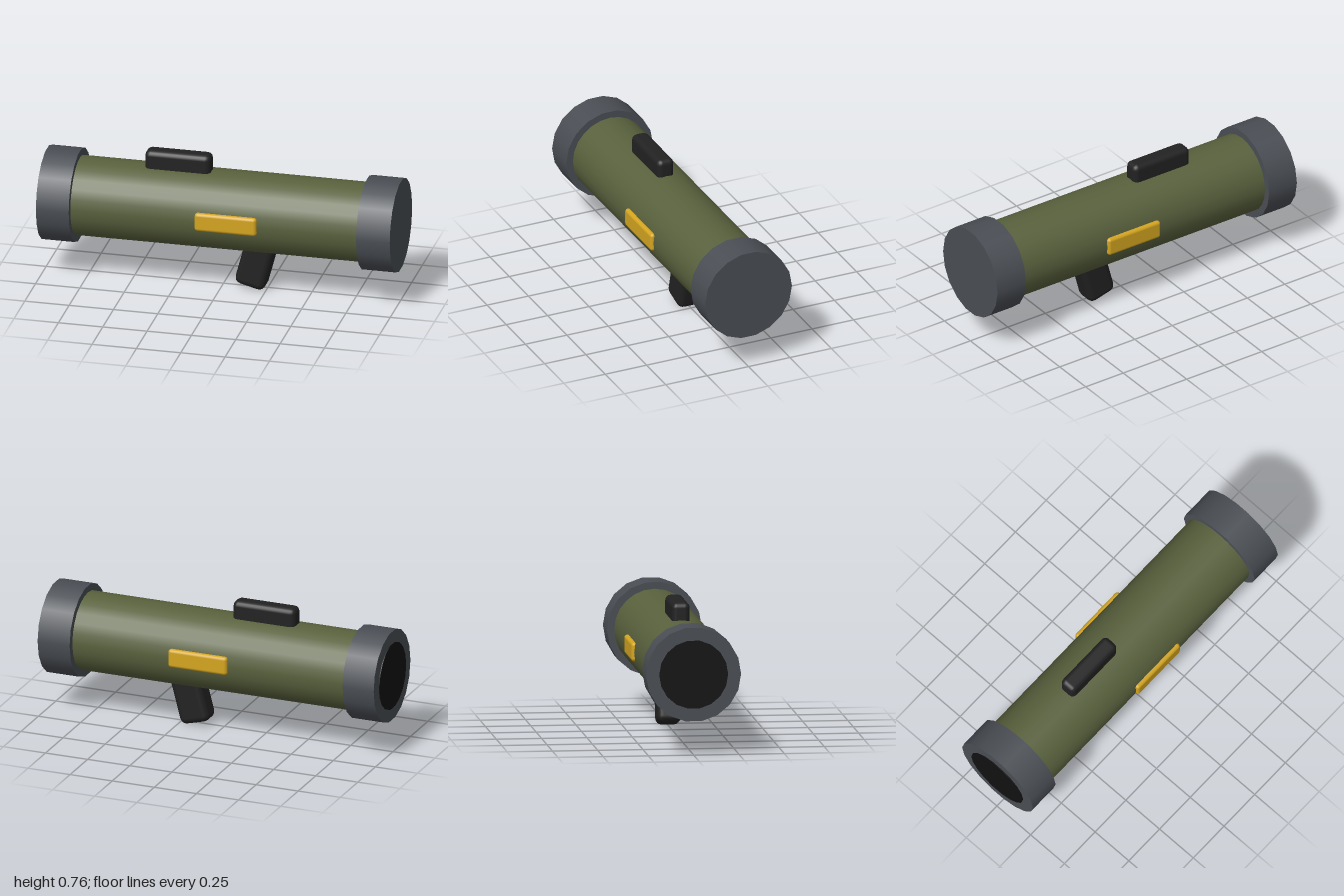
import * as THREE from 'three';
import { RoundedBoxGeometry } from 'three/addons/geometries/RoundedBoxGeometry.js';

const material = (name, color) => {
  const m = new THREE.MeshStandardMaterial({ color });
  m.name = name;
  return m;
};

export function createModel() {
  const olive = material('olive', 0x59613d);
  const steel = material('steel grey', 0x4a4e54);
  const rubber = material('rubber black', 0x222222);
  const dark = material('bore black', 0x111111);
  const yellow = material('marking yellow', 0xd4a520);

  const model = new THREE.Group();
  model.name = 'launcher';
  const axisY = 0.446;

  const add = (name, geometry, mat, x, y, z = 0) => {
    const mesh = new THREE.Mesh(geometry, mat);
    mesh.name = name;
    mesh.position.set(x, y, z);
    model.add(mesh);
    return mesh;
  };
  // Cylinder lying along x
  const tube = (radius, length, sides) =>
    new THREE.CylinderGeometry(radius, radius, length, sides).rotateZ(Math.PI / 2);

  // Barrel with a wider collar at each end
  add('barrel', tube(0.222, 1.8, 24), olive, 0, axisY);
  add('leftCollar', tube(0.262, 0.19, 18), steel, 0.905, axisY);
  add('rightCollar', tube(0.262, 0.185, 18), steel, -0.9025, axisY);

  // Dark opening on the right end
  add('bore', tube(0.19, 0.009, 18), dark, -0.9955, axisY);

  // Sight block on top
  add('sight', new RoundedBoxGeometry(0.37, 0.13, 0.098, 2, 0.03), rubber, -0.25, 0.698);

  // Slanted hand grip
  const grip = add('grip', new RoundedBoxGeometry(0.174, 0.36, 0.136, 2, 0.037), rubber, 0.198, 0.188);
  grip.rotation.z = -0.26;

  // Yellow marking on both sides
  for (const side of [1, -1]) {
    add(side > 0 ? 'frontMarking' : 'backMarking',
      new RoundedBoxGeometry(0.35, 0.106, 0.04, 2, 0.018), yellow, 0.065, 0.448, side * 0.217);
  }
  return model;
}
